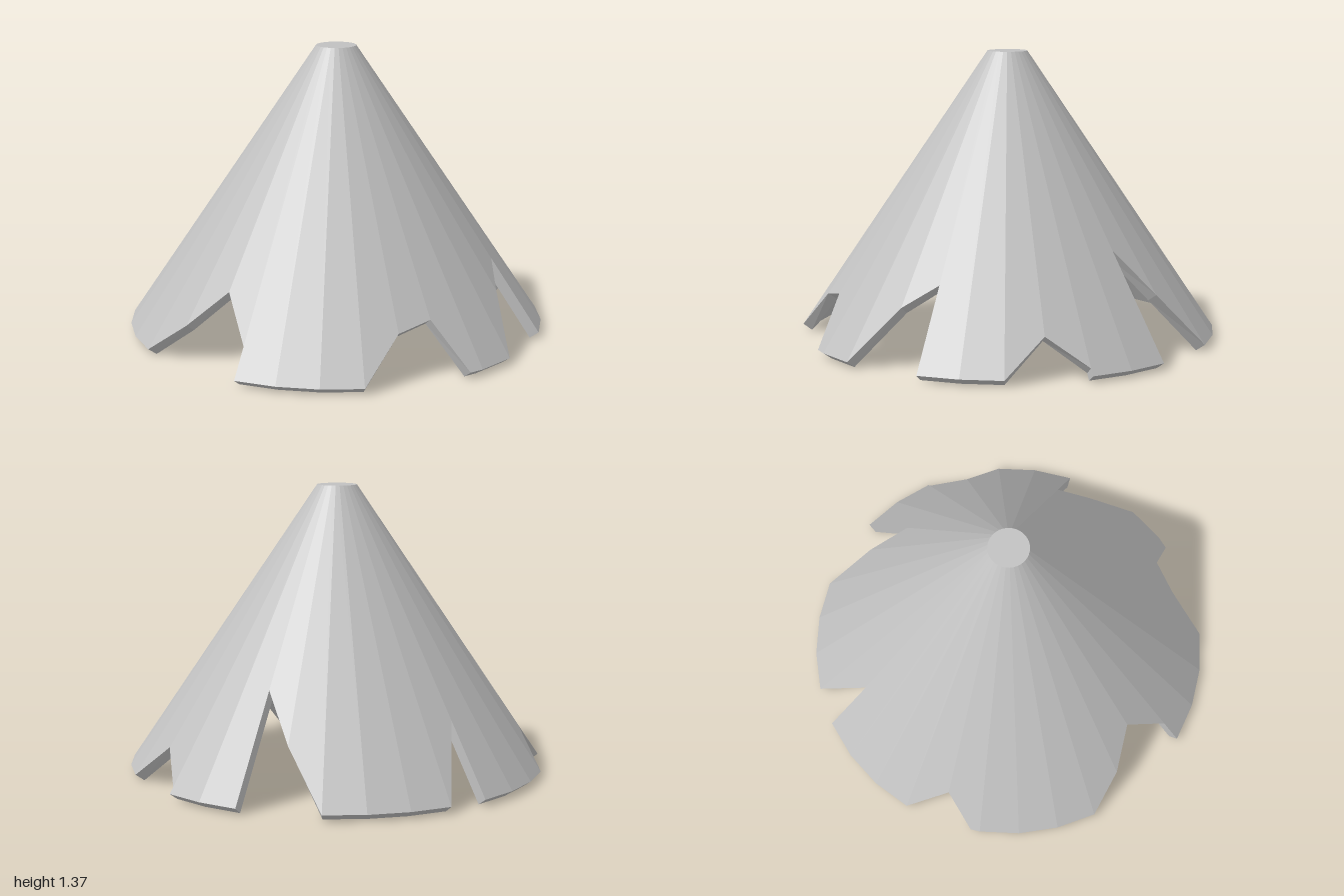
import * as THREE from 'three';

const SIDES = 32;
const TOP_R = 0.095, TOP_Y = 1.37, BASE_Y = 0.03;
const SLOPE = (TOP_Y - BASE_Y) / (1 - TOP_R);
const WALL_R = 0.042, WALL_Y = 0.03; // wall thickness, measured square to the slope

// Ragged lower edge: [rib number, radius], going round from +x towards +z.
// Two entries on one rib make a cut running straight up the slope.
const EDGE = [
  [0, 1], [1, 1], [1.36, 1], [2, 0.847], [3, 0.87], [4, 1], [5, 1], [6, 1],
  [7, 1], [7, 0.912], [8, 0.785], [9, 0.9], [10, 1], [11, 1], [12, 1], [13, 1],
  [13.24, 1], [14, 0.882], [15, 1], [16, 1], [17, 1], [18, 1], [18, 0.783],
  [19, 1], [20, 1], [21, 1], [22, 1], [23, 0.828], [24, 0.685], [24, 1],
  [25, 1], [26, 1], [26, 0.98], [27, 0.89], [28, 1], [29, 1], [30, 1],
  [30, 0.763], [31, 0.834],
];

// Direction of a rib; fractional ribs lie on the flat facet between two ribs
function ribDirection(k) {
  const rib = (n) => {
    const a = (n / SIDES) * Math.PI * 2;
    return new THREE.Vector3(Math.cos(a), 0, Math.sin(a));
  };
  return rib(Math.floor(k)).lerp(rib(Math.floor(k) + 1), k - Math.floor(k));
}

// Point on the outer or inner skin of the cone
function conePoint(k, r, inner) {
  const y = BASE_Y + (1 - r) * SLOPE - (inner ? WALL_Y : 0);
  return ribDirection(k).multiplyScalar(inner ? r - WALL_R : r).setY(y);
}

function facetMesh(name, triangles, material) {
  const geometry = new THREE.BufferGeometry().setFromPoints(triangles);
  geometry.computeVertexNormals();
  const mesh = new THREE.Mesh(geometry, material);
  mesh.name = name;
  return mesh;
}

export function createModel() {
  const grey = new THREE.MeshStandardMaterial({ color: 0xc0c0c0 });
  grey.name = 'plain grey';

  const outer = [], inner = [], rim = [], cap = [], ceiling = [];
  const quad = (list, a, b, c, d) => list.push(a, b, c, a, c, d);
  const capCentre = new THREE.Vector3(0, TOP_Y, 0);
  const ceilingCentre = new THREE.Vector3(0, TOP_Y - WALL_Y, 0);

  EDGE.forEach(([k0, r0], i) => {
    const [k1, r1] = EDGE[(i + 1) % EDGE.length];
    const o0 = conePoint(k0, r0, false), o1 = conePoint(k1, r1, false);
    const i0 = conePoint(k0, r0, true), i1 = conePoint(k1, r1, true);
    quad(rim, o0, o1, i1, i0);
    if (k0 === k1) return; // straight cut: only the wall thickness shows

    const t0 = conePoint(k0, TOP_R, false), t1 = conePoint(k1, TOP_R, false);
    const u0 = conePoint(k0, TOP_R, true), u1 = conePoint(k1, TOP_R, true);
    quad(outer, o0, t0, t1, o1);
    quad(inner, i0, i1, u1, u0);
    cap.push(capCentre, t1, t0);
    ceiling.push(ceilingCentre, u0, u1);
  });

  const model = new THREE.Group();
  model.name = 'raggedCone';
  model.add(
    facetMesh('outerSkin', outer, grey),
    facetMesh('innerSkin', inner, grey),
    facetMesh('raggedRim', rim, grey),
    facetMesh('topCap', cap, grey),
    facetMesh('innerCeiling', ceiling, grey),
  );
  return model;
}
